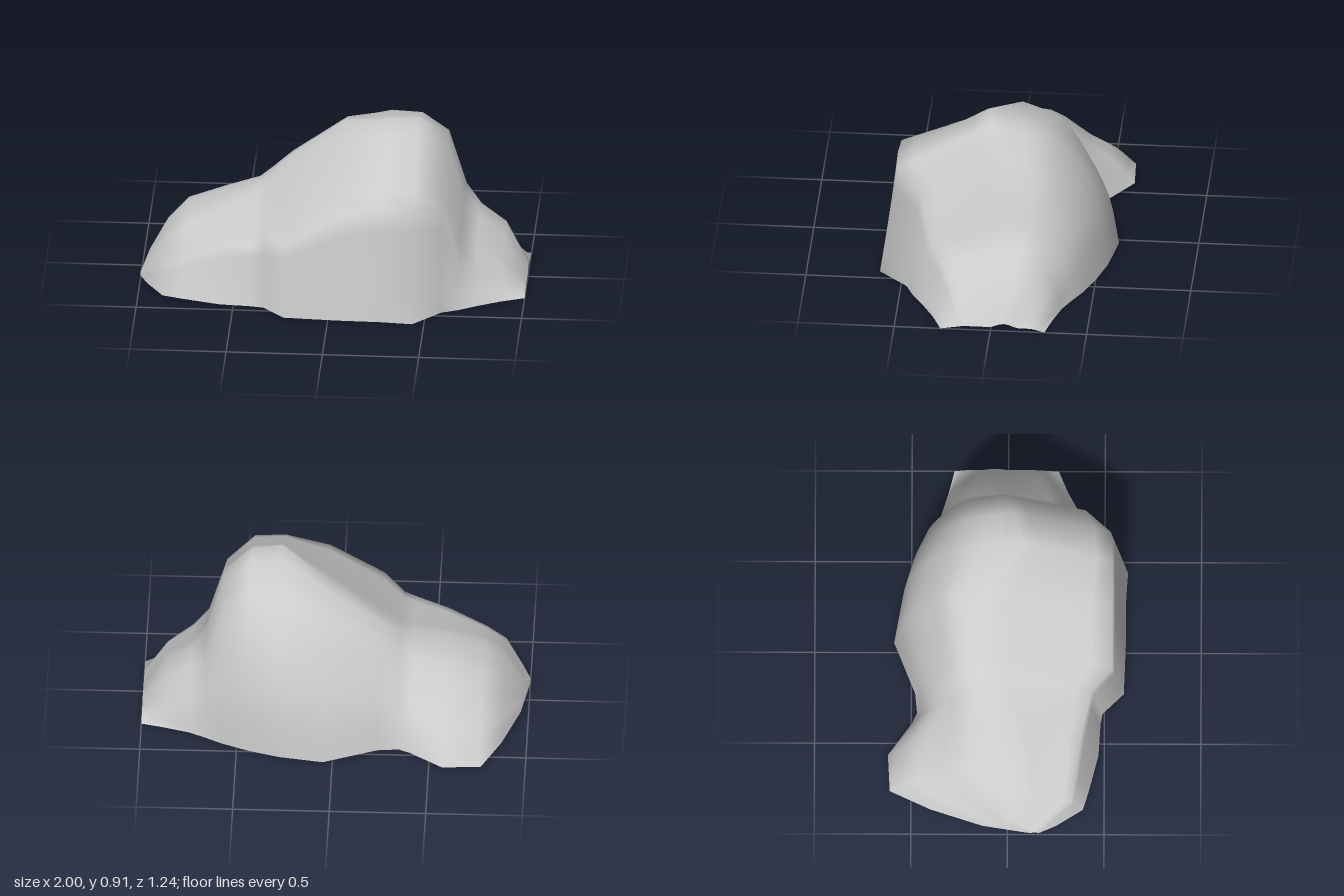
import * as THREE from 'three';

// Cross-sections from the right end (-x) to the left end (+x):
// x, front base z, front shoulder z y, ridge z y, back shoulder z y, back base z
const SECTIONS = [
  [-1.0, 0.16, 0.15, 0.03, 0.14, 0.03, 0.13, 0.03, 0.12],
  [-0.96, 0.25, 0.21, 0.07, 0.08, 0.1, -0.06, 0.06, -0.13],
  [-0.87, 0.39, 0.33, 0.15, 0.1, 0.24, -0.24, 0.14, -0.4],
  [-0.77, 0.42, 0.35, 0.21, 0.08, 0.32, -0.38, 0.18, -0.61],
  [-0.57, 0.47, 0.38, 0.3, 0.03, 0.4, -0.38, 0.24, -0.62],
  [-0.4, 0.48, 0.42, 0.34, -0.04, 0.47, -0.32, 0.32, -0.5],
  [-0.34, 0.49, 0.43, 0.36, -0.07, 0.52, -0.32, 0.37, -0.47],
  [-0.23, 0.6, 0.54, 0.4, -0.1, 0.62, -0.34, 0.44, -0.48],
  [0.05, 0.61, 0.54, 0.57, -0.09, 0.83, -0.42, 0.55, -0.59],
  [0.28, 0.61, 0.54, 0.63, 0.07, 0.91, -0.42, 0.6, -0.55],
  [0.44, 0.62, 0.53, 0.63, 0.04, 0.91, -0.37, 0.62, -0.5],
  [0.58, 0.47, 0.4, 0.57, -0.02, 0.81, -0.32, 0.54, -0.44],
  [0.67, 0.43, 0.33, 0.3, -0.05, 0.47, -0.28, 0.34, -0.39],
  [0.75, 0.38, 0.27, 0.24, -0.05, 0.35, -0.26, 0.25, -0.35],
  [0.88, 0.31, 0.21, 0.17, -0.04, 0.26, -0.23, 0.17, -0.31],
  [1.0, 0.26, 0.14, 0.02, 0.0, 0.02, -0.14, 0.02, -0.28],
];

// Midpoint of a to b pushed outwards by a share of the length
function bulge(a, b, share) {
  const mid = a.clone().lerp(b, 0.5);
  mid.y -= (b.z - a.z) * share;
  mid.z += (b.y - a.y) * share;
  return mid;
}

// Straight front wall and slope, then a rounded back
function sectionPoints([x, zf, zs, ys, zr, yr, zb, yb, zBack]) {
  const base = 0.01 - 0.01 * x;
  const front = new THREE.Vector3(x, base, zf);
  const shoulder = new THREE.Vector3(x, ys, zs);
  const ridge = new THREE.Vector3(x, yr, zr);
  const haunch = new THREE.Vector3(x, yb, zb);
  const back = new THREE.Vector3(x, base, zBack);
  const rounded = new THREE.CatmullRomCurve3([
    ridge, bulge(ridge, haunch, 0.15), haunch, bulge(haunch, back, 0.06), back,
  ]);
  return [
    ...new THREE.LineCurve3(front, shoulder).getPoints(5).slice(0, -1),
    ...new THREE.LineCurve3(shoulder, ridge).getPoints(6).slice(0, -1),
    ...rounded.getPoints(12),
  ];
}

// Open shell skinned across the sections
function rockGeometry() {
  const rows = SECTIONS.map(sectionPoints);
  const size = rows[0].length;
  const index = [];
  for (let i = 0; i < rows.length - 1; i++) {
    for (let j = 0; j < size - 1; j++) {
      const a = i * size + j;
      const b = a + size;
      index.push(a, b, a + 1, b, b + 1, a + 1);
    }
  }
  const geometry = new THREE.BufferGeometry().setFromPoints(rows.flat());
  geometry.setIndex(index);
  geometry.computeVertexNormals();
  return geometry;
}

export function createModel() {
  const model = new THREE.Group();
  model.name = 'boulder';
  const rock = new THREE.Mesh(
    rockGeometry(),
    new THREE.MeshStandardMaterial({ color: 0xcccccc, side: THREE.DoubleSide })
  );
  rock.name = 'rockShell';
  model.add(rock);
  return model;
}
